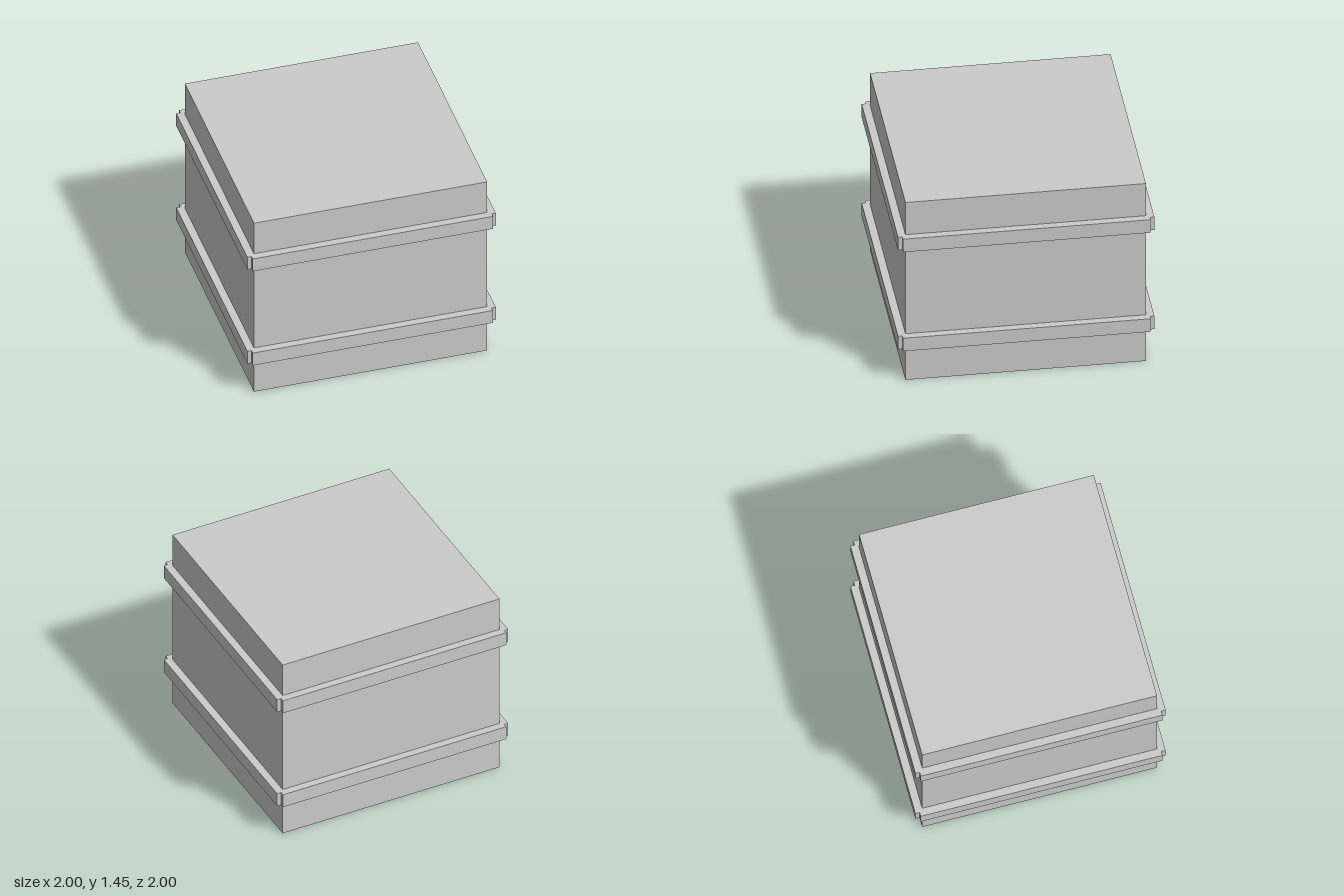
import * as THREE from 'three';

const HEIGHT = 1.445, HALF = 0.835;      // crate body
const OUT = 0.89, ARM = 0.86;            // strap face distance and half length
const BAND_H = 0.106, BAND_Y = [0.323, 1.13];
const TURN = 0.1385;                     // whole crate is turned slightly

export function createModel() {
  const material = new THREE.MeshStandardMaterial({ color: 0xcccccc, flatShading: true });
  const model = new THREE.Group();
  model.name = 'crate';

  const body = new THREE.Mesh(new THREE.BoxGeometry(HALF * 2, HEIGHT, HALF * 2), material);
  body.name = 'body';
  body.position.y = HEIGHT / 2;
  model.add(body);

  // Strap outline: a square with a small notch at each corner
  const outline = [];
  for (let i = 0; i < 4; i++) {
    const c = new THREE.Vector2();
    for (const [x, y] of [[OUT, ARM], [ARM, ARM], [ARM, OUT]]) {
      outline.push(new THREE.Vector2(x, y).rotateAround(c, i * Math.PI / 2));
    }
  }
  const ring = new THREE.Shape(outline);
  const inner = HALF - 0.01;
  ring.holes.push(new THREE.Path([[-1, -1], [-1, 1], [1, 1], [1, -1]]
    .map(([x, y]) => new THREE.Vector2(x * inner, y * inner))));
  const bandGeometry = new THREE.ExtrudeGeometry(ring, { depth: BAND_H, bevelEnabled: false });
  bandGeometry.rotateX(-Math.PI / 2).translate(0, -BAND_H / 2, 0);

  // Lower and upper straps
  BAND_Y.forEach((y, i) => {
    const band = new THREE.Mesh(bandGeometry, material);
    band.name = i ? 'upperStrap' : 'lowerStrap';
    band.position.y = y;
    model.add(band);
  });

  model.rotation.y = TURN;
  return model;
}
